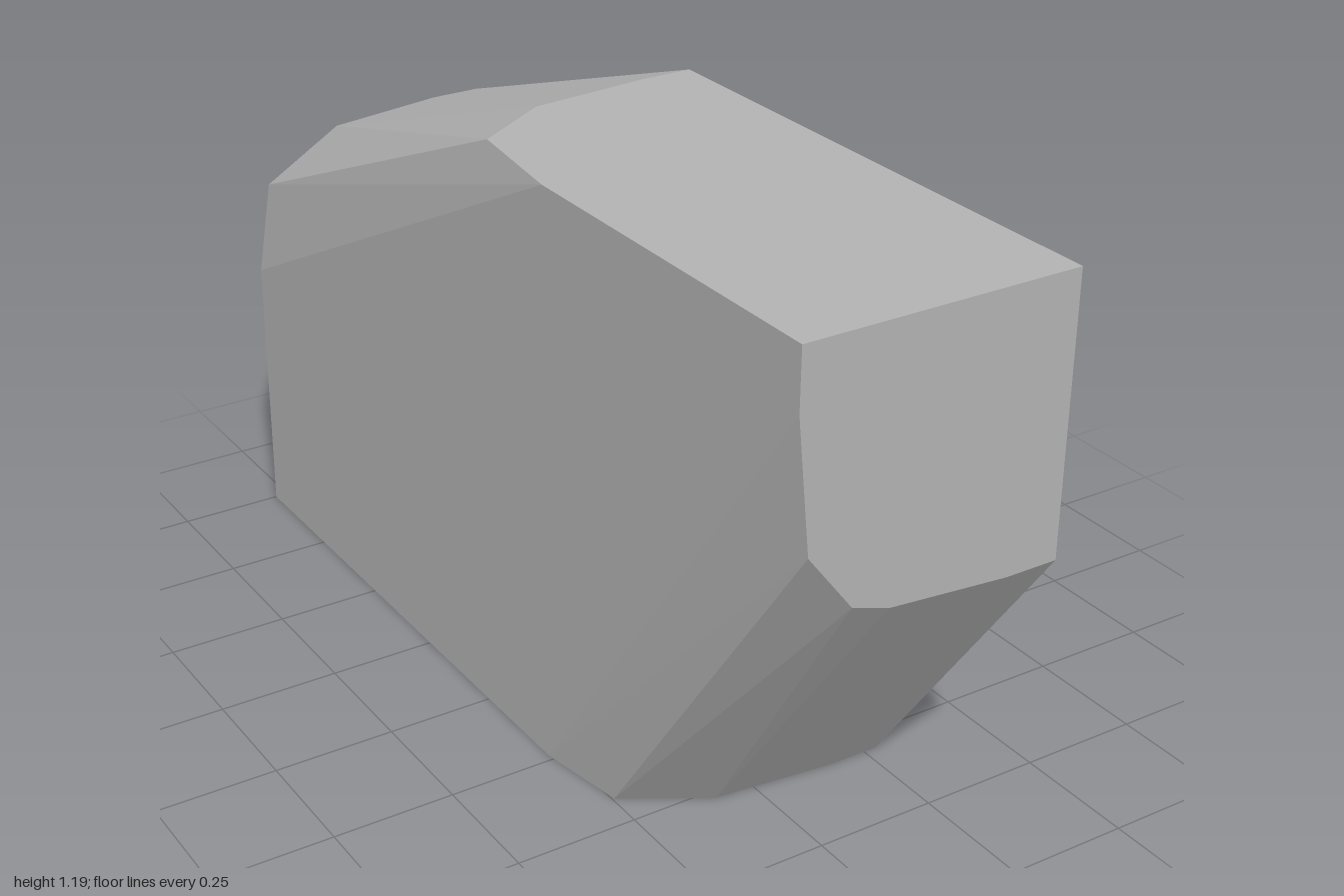
import * as THREE from 'three';
import { ConvexGeometry } from 'three/addons/geometries/ConvexGeometry.js';

export function createModel() {
  const group = new THREE.Group();
  const grey = new THREE.MeshStandardMaterial({ color: 0xb2b2b2 });
  grey.name = 'plain grey';

  const W = 0.278, H = 1.19;
  const points = [];
  const add = (x, y, z) => points.push(new THREE.Vector3(x, y, z));

  // Square corners: upper front and lower back edges
  for (const x of [-W, W]) {
    add(x, H, 1);
    add(x, 0, -1);
  }
  // Lower edge of the front face, rounding up towards the right side
  for (const [x, y] of [[W, 0.645], [0.17, 0.645], [-0.08, 0.665], [-0.157, 0.69], [-0.25, 0.81], [-W, 1.07]]) add(x, y, 1);
  // Front edge of the base
  for (const [x, z] of [[W, 0.55], [0.17, 0.55], [-0.08, 0.523], [-0.246, 0.423], [-W, 0.235]]) add(x, 0, z);
  // Rear edge of the flat top
  for (const [x, z] of [[W, -0.137], [0.17, -0.137], [-0.085, -0.112], [-0.248, -0.01], [-W, 0.235]]) add(x, H, z);
  // Upper edge of the back face
  for (const [x, y] of [[W, 0.893], [0.17, 0.893], [-0.075, 0.873], [-0.246, 0.77], [-W, 0.573]]) add(x, y, -1);

  // Solid block wrapped around the edge profiles, flat faceted
  const block = new THREE.Mesh(new ConvexGeometry(points), grey);
  block.name = 'chamferedBlock';
  group.add(block);
  return group;
}
